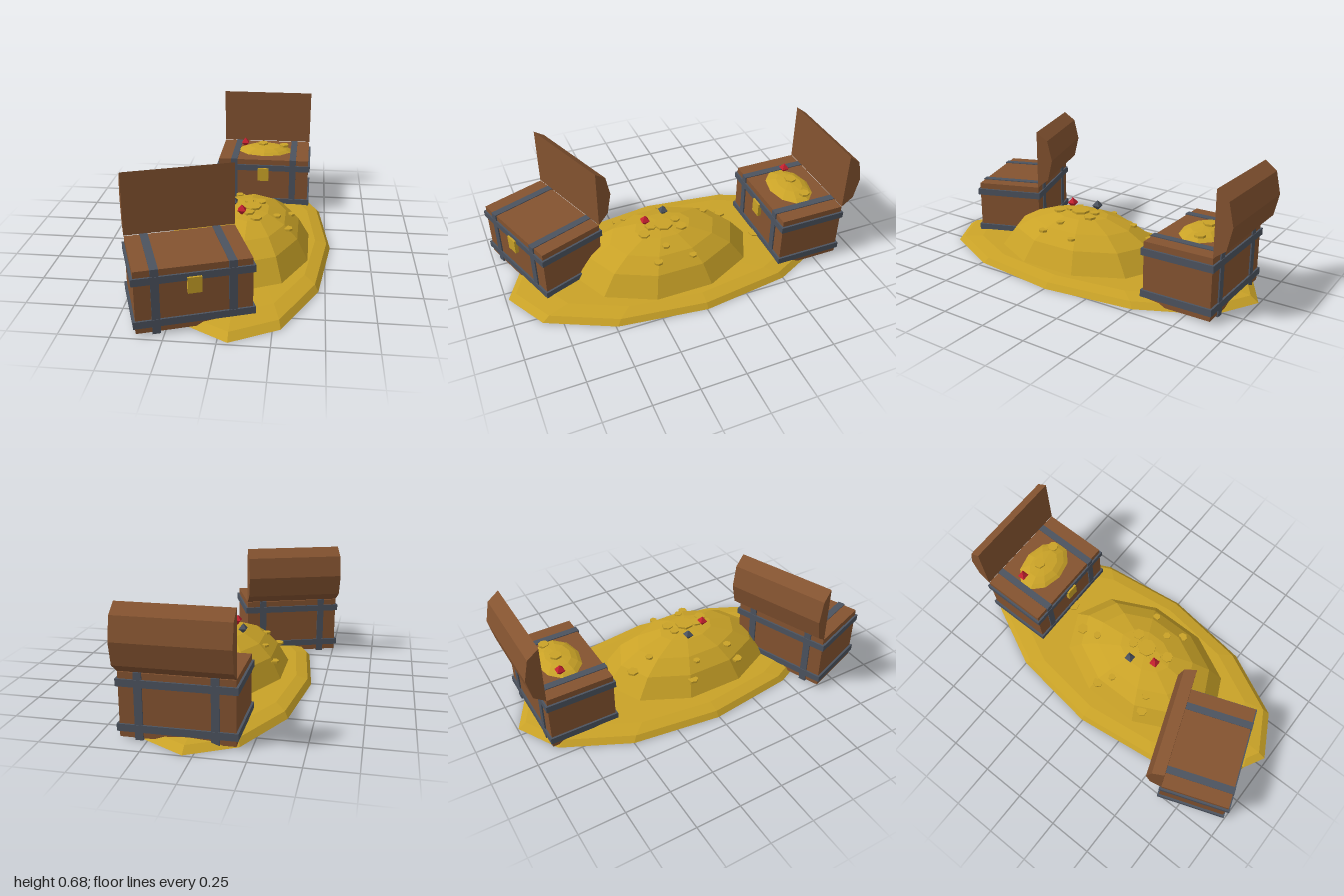
import * as THREE from 'three';

const paint = (name, color) => new THREE.MeshStandardMaterial({ name, color, flatShading: true });

export function createModel() {
  const wood = paint('wood', 0x845330);
  const iron = paint('iron', 0x4c535f);
  const gold = paint('gold', 0xc9a227);
  const ruby = paint('ruby', 0xc4202f);
  const model = new THREE.Group();
  model.name = 'treasureHoard';

  const add = (parent, name, geometry, material, x = 0, y = 0, z = 0) => {
    const mesh = new THREE.Mesh(geometry, material);
    mesh.name = name;
    mesh.position.set(x, y, z);
    parent.add(mesh);
    return mesh;
  };
  const box = (parent, name, material, size, x, y, z) =>
    add(parent, name, new THREE.BoxGeometry(...size), material, x, y, z);

  // Faceted elliptical heap; profile holds [radius ratio, height] from bottom to top
  const heap = (name, profile, sides, x, z, rx, rz) => {
    const points = profile.map(([r, y]) => new THREE.Vector2(r, y));
    const mesh = add(model, name, new THREE.LatheGeometry(points, sides), gold, x, 0, z);
    mesh.scale.set(rx, 1, rz);
  };
  const spread = [[0, 0], [1, 0], [0.955, 0.03], [0.82, 0.047], [0, 0.053]];
  const pile = [[1, 0.04], [0.81, 0.16], [0.59, 0.225], [0.31, 0.268], [0, 0.285]];
  const chestPile = [[1, 0.337], [0.81, 0.354], [0.55, 0.369], [0, 0.378]];
  heap('goldSpread', spread, 12, 0.05, -0.005, 0.48, 0.99);
  heap('goldPile', pile, 10, 0.07, 0.08, 0.355, 0.53);
  heap('chestGold', chestPile, 10, 0.1, -0.705, 0.18, 0.125);

  // Open chest: body, lid standing upright at the back, iron bands, straps and lock
  const W = 0.565, D = 0.372, TOP = 0.34;
  const lidShape = new THREE.Shape();
  for (let i = 0; i <= 4; i++) {
    const a = -Math.PI / 2 + (i * Math.PI) / 4;
    lidShape[i ? 'lineTo' : 'moveTo'](0.09 * Math.cos(a), 0.168 * Math.sin(a));
  }
  const lidGeometry = new THREE.ExtrudeGeometry(lidShape, { depth: W + 0.004, bevelEnabled: false });
  lidGeometry.translate(0, 0, -(W + 0.004) / 2).rotateY(Math.PI / 2);

  const chest = (name, x, z, turn) => {
    const group = new THREE.Group();
    group.name = name;
    group.position.set(x, 0, z);
    group.rotation.y = turn;
    box(group, 'chestBody', wood, [W, TOP - 0.012, D], 0, (TOP + 0.012) / 2, 0);
    add(group, 'chestLid', lidGeometry, wood, 0, 0.511, -D / 2);
    for (const y of [0.062, 0.288]) box(group, 'ironBand', iron, [W + 0.023, 0.037, D + 0.02], 0, y, 0);
    for (const s of [-1, 1]) box(group, 'ironStrap', iron, [0.04, 0.341, D + 0.015], s * 0.185, 0.174, 0);
    box(group, 'lock', gold, [0.068, 0.083, 0.03], 0, 0.247, D / 2 + 0.006);
    model.add(group);
  };
  chest('backChest', 0.102, -0.7, 0);
  chest('frontChest', -0.177, 0.707, Math.PI / 9);

  // Height of the large pile at a point
  const pileHeight = (x, z) => {
    const r = Math.hypot((x - 0.07) / 0.355, (z - 0.08) / 0.53);
    for (let i = 1; i < pile.length; i++) {
      const [r0, y0] = pile[i - 1], [r1, y1] = pile[i];
      if (r >= r1) return y0 + ((y1 - y0) * (r0 - Math.min(r, r0))) / (r0 - r1);
    }
    return 0.285;
  };

  // Loose coins: [x, z, radius]; those on the slopes are half buried
  const coin = (x, y, z, r, i) => {
    const mesh = add(model, 'coin', new THREE.CylinderGeometry(r, r, 0.012, i % 2 ? 6 : 7), gold, x, y, z);
    mesh.rotation.y = i * 1.3;
  };
  const coins = [
    [0.06, 0, 0.026], [0.125, -0.01, 0.033], [0.085, 0.08, 0.052], [0.07, 0.15, 0.034], [0.115, 0.205, 0.032],
    [-0.02, -0.32, 0.032], [-0.015, -0.21, 0.022], [-0.22, -0.045, 0.03], [-0.16, 0.015, 0.02],
    [-0.13, 0.24, 0.024], [-0.2, 0.265, 0.03], [0.225, 0.12, 0.022], [0.29, 0.19, 0.026], [0.3, -0.01, 0.022],
  ];
  coins.forEach(([x, z, r], i) => coin(x, pileHeight(x, z) + 0.003, z, r, i));
  coin(0.085, 0.38, -0.72, 0.034, 1);
  coin(0.222, 0.366, -0.735, 0.03, 2);
  coin(0.1, 0.05, -0.5, 0.035, 3);

  // Cut gems
  const gem = (name, material, x, y, z) => {
    add(model, name, new THREE.OctahedronGeometry(0.031), material, x, y, z).rotation.y = Math.PI / 4;
  };
  gem('rubyGem', ruby, 0.035, 0.303, 0.172);
  gem('darkGem', iron, -0.025, 0.293, 0.04);
  gem('rubyGem', ruby, -0.033, 0.376, -0.746);

  return model;
}
